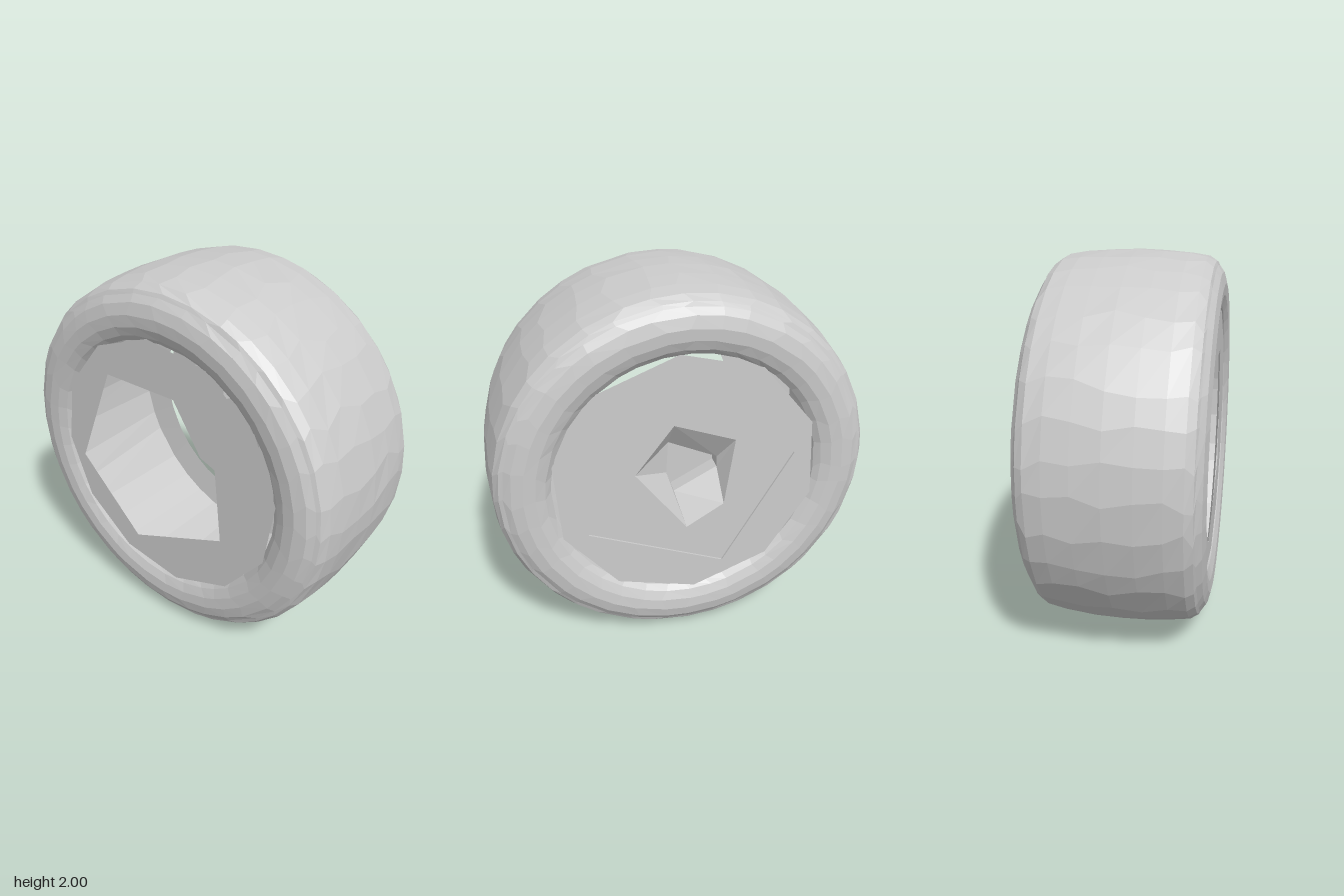
import * as THREE from 'three';

const material = new THREE.MeshStandardMaterial({ color: 0xcccccc, flatShading: true, side: THREE.DoubleSide });

// Wheel axis runs along x. Outlines are [z, y] pairs around the hub.
const toVectors = (pairs) => pairs.map(([z, y]) => new THREE.Vector2(-z, y));

const circle = (radius, sides, turn = 0) => Array.from({ length: sides }, (_, i) => {
  const a = turn + (i / sides) * Math.PI * 2;
  return [radius * Math.cos(a), radius * Math.sin(a)];
});

function addMesh(group, name, geometry) {
  const mesh = new THREE.Mesh(geometry, material);
  mesh.name = name;
  group.add(mesh);
}

// Flat plate facing along x, with an optional opening
function plate(outline, opening, x) {
  const shape = new THREE.Shape(toVectors(outline));
  if (opening) shape.holes.push(new THREE.Path(toVectors(opening)));
  return new THREE.ShapeGeometry(shape).rotateY(Math.PI / 2).translate(x, 0, 0);
}

// Faceted wall joining two outlines of equal length
function wall(a, xa, b, xb) {
  const positions = [];
  a.forEach((p, i) => {
    const j = (i + 1) % a.length;
    const p0 = [xa, p[1], p[0]], p1 = [xa, a[j][1], a[j][0]];
    const q0 = [xb, b[i][1], b[i][0]], q1 = [xb, b[j][1], b[j][0]];
    positions.push(...p0, ...p1, ...q1, ...p0, ...q1, ...q0);
  });
  const geometry = new THREE.BufferGeometry();
  geometry.setAttribute('position', new THREE.Float32BufferAttribute(positions, 3));
  geometry.computeVertexNormals();
  return geometry;
}

// Lathe about x whose vertices slide a little around the ring for uneven facets
function ring(profile, segments, slide) {
  const points = profile.map(([r, x]) => new THREE.Vector2(r, x));
  const geometry = new THREE.LatheGeometry(points, segments);
  const pos = geometry.attributes.position;
  for (let i = 0; i < pos.count; i++) {
    const row = i % points.length, column = Math.floor(i / points.length) % segments;
    const r = points[row].x;
    const key = row % (points.length - 1);
    const noise = Math.sin(key * 12.99 + column * 78.23) * 43758.55;
    const shift = (noise - Math.floor(noise) - 0.5) * slide;
    const a = (column / segments) * Math.PI * 2 + shift;
    pos.setXYZ(i, r * Math.sin(a), points[row].y, r * Math.cos(a));
  }
  geometry.rotateZ(-Math.PI / 2);
  geometry.computeVertexNormals();
  return geometry;
}

export function createModel() {
  const wheel = new THREE.Group();
  wheel.name = 'wheel';
  wheel.position.y = 1;

  // Tyre: closed section with rounded tread, bulging sidewalls and an inner liner
  const half = [
    [0.86, 0.38], [0.69, 0.40], [0.72, 0.425], [0.77, 0.445], [0.83, 0.45], [0.89, 0.435],
    [0.925, 0.41], [0.945, 0.40], [0.97, 0.36], [0.985, 0.27], [0.995, 0.14],
  ];
  const section = [
    ...half.map(([r, x]) => [r, -x]), [1, 0], ...half.slice().reverse(), [0.86, -0.38],
  ];
  addMesh(wheel, 'tyre', ring(section, 36, 0.09));

  // Outer face: many-sided disc framing a four-cornered panel
  const panel = [[0.34, 0.47], [0.52, -0.26], [-0.2, -0.55], [-0.57, 0.09]];
  const panelX = 0.41;
  const discX = 0.42;
  addMesh(wheel, 'outerDisc', plate(circle(0.7, 10, 0.25), panel, discX));
  addMesh(wheel, 'panelEdge', wall(panel, discX, panel, panelX));

  // Hub: uneven five-sided funnel ending in a small pit
  const funnel = [[0.07, 0.32], [-0.25, 0.2], [-0.2, -0.18], [0, -0.3], [0.27, 0.06]];
  const pit = [[0.08, 0.18], [-0.18, 0.06], [-0.18, 0], [0.05, -0.12], [0.09, 0]];
  addMesh(wheel, 'hubPanel', plate(panel, funnel, panelX));
  addMesh(wheel, 'hubFunnel', wall(funnel, panelX, pit, 0.32));
  addMesh(wheel, 'hubPitWall', wall(pit, 0.32, pit, 0.24));
  addMesh(wheel, 'hubPitFloor', plate(pit, null, 0.24));

  // Inner face: flat rim ring with an uneven five-sided opening into the hollow
  const opening = [[0.32, 0.43], [0.38, -0.29], [-0.21, -0.54], [-0.6, -0.15], [-0.36, 0.43]];
  addMesh(wheel, 'innerRim', plate(circle(0.71, 12, 0.1), opening, -0.42));

  const model = new THREE.Group();
  model.name = 'model';
  model.add(wheel);
  return model;
}
